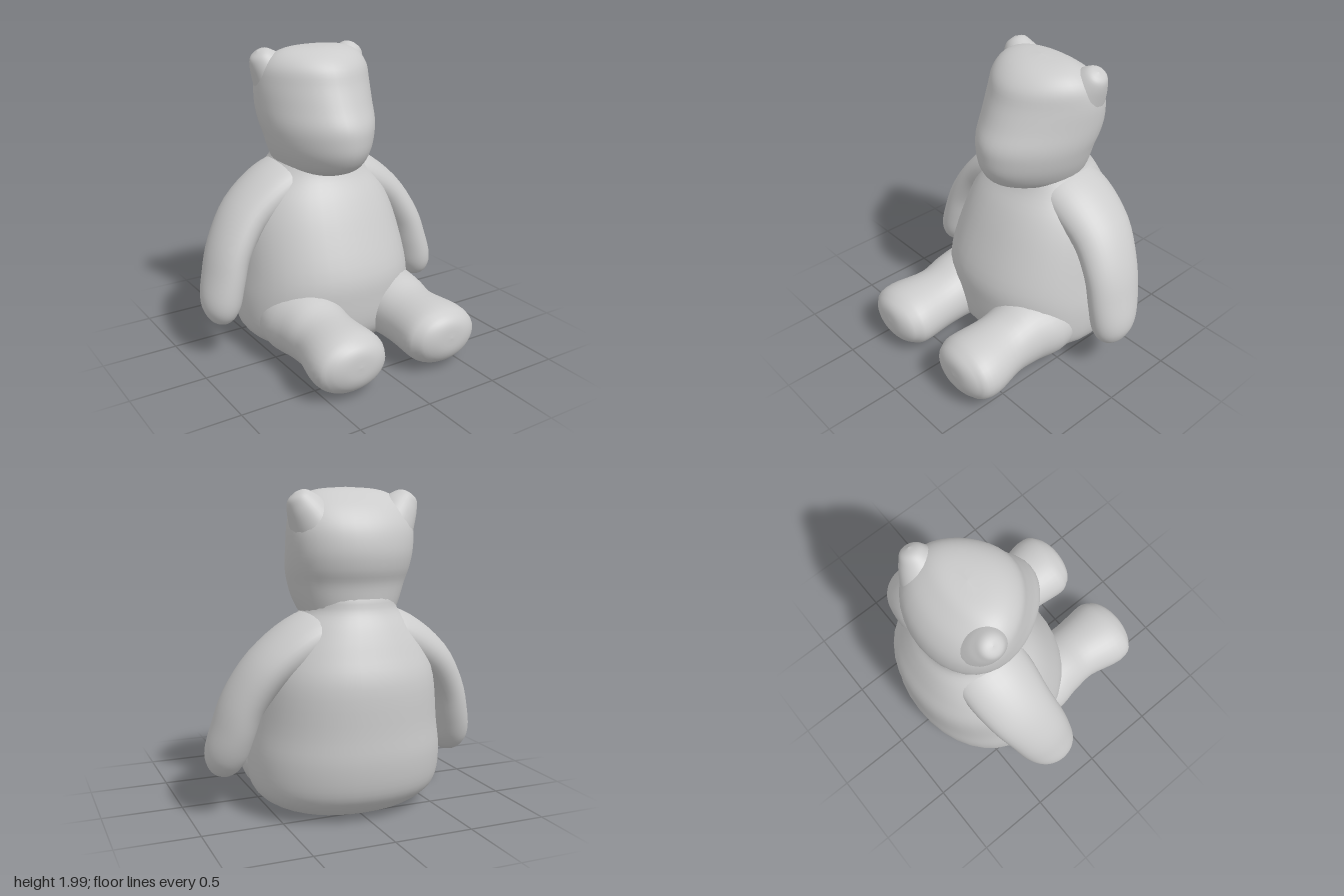
import * as THREE from 'three';

const material = new THREE.MeshStandardMaterial({ color: 0xcccccc });
const X = 1, Y_AXIS = new THREE.Vector3(0, 1, 0), Z_AXIS = new THREE.Vector3(0, 0, 1);

// Smooth skin through oval sections [x, y, z, side radius, radius along v].
// taper narrows the +v half of each oval and widens the other half.
function loft(name, sections, v, { around = 36, steps = 4, power = 2, taper = 0 } = {}) {
  const path = new THREE.CatmullRomCurve3(
    sections.map(s => new THREE.Vector3(s[0], s[1], s[2])), false, 'catmullrom', 0.5);
  const radii = new THREE.CatmullRomCurve3(
    sections.map(s => new THREE.Vector3(s[3], s[4], 0)), false, 'catmullrom', 0.5);
  const rows = (sections.length - 1) * steps;
  const positions = [], index = [];
  const round = c => Math.sign(c) * Math.abs(c) ** (2 / power);
  for (let i = 0; i <= rows; i++) {
    const c = path.getPoint(i / rows), r = radii.getPoint(i / rows);
    const u = new THREE.Vector3().crossVectors(v, path.getTangent(i / rows)).normalize();
    for (let j = 0; j < around; j++) {
      const angle = (j / around) * Math.PI * 2;
      const cos = round(Math.cos(angle)), sin = round(Math.sin(angle));
      const p = c.clone()
        .addScaledVector(u, Math.max(r.x, 0.001) * cos * (1 - taper * sin))
        .addScaledVector(v, Math.max(r.y, 0.001) * sin);
      positions.push(p.x, p.y, p.z);
      if (i < rows) {
        const a = i * around + j, b = i * around + (j + 1) % around;
        index.push(a, b, a + around, b, b + around, a + around);
      }
    }
  }
  const geometry = new THREE.BufferGeometry();
  geometry.setAttribute('position', new THREE.Float32BufferAttribute(positions, 3));
  geometry.setIndex(index);
  geometry.computeVertexNormals();
  const mesh = new THREE.Mesh(geometry, material);
  mesh.name = name;
  return mesh;
}

// Level section from height, front z, back z and half width
const level = ([y, front, back, half]) => [0, y, (front + back) / 2, half, (front - back) / 2];

export function createModel() {
  const model = new THREE.Group();
  model.name = 'sittingToyBear';

  // Pear-shaped torso rising into the neck
  model.add(loft('body', [
    [0.004, -0.24, -0.24, 0], [0.008, -0.02, -0.46, 0.3], [0.03, 0.12, -0.58, 0.43],
    [0.1, 0.22, -0.68, 0.55], [0.2, 0.28, -0.75, 0.605], [0.38, 0.3, -0.785, 0.612],
    [0.57, 0.29, -0.785, 0.585], [0.85, 0.18, -0.78, 0.54], [1.03, 0.09, -0.72, 0.47],
    [1.17, 0.0, -0.66, 0.37], [1.27, -0.03, -0.605, 0.295], [1.36, -0.05, -0.58, 0.28],
    [1.45, -0.12, -0.5, 0.2], [1.47, -0.31, -0.31, 0],
  ].map(level), Z_AXIS, { power: 2.15 }));

  // Head, narrowing forwards to the muzzle
  model.add(loft('head', [
    [1.15, -0.25, -0.25, 0], [1.165, -0.08, -0.46, 0.18], [1.19, 0.03, -0.55, 0.25],
    [1.24, 0.125, -0.57, 0.285], [1.33, 0.185, -0.585, 0.325], [1.43, 0.2, -0.6, 0.355],
    [1.52, 0.19, -0.635, 0.375], [1.63, 0.135, -0.65, 0.385], [1.76, 0.075, -0.625, 0.385],
    [1.87, 0.03, -0.555, 0.36], [1.945, -0.05, -0.46, 0.29], [1.985, -0.15, -0.38, 0.18],
    [1.998, -0.27, -0.27, 0],
  ].map(level), Z_AXIS, { taper: 0.22 }));

  for (const [side, s] of [['left', X], ['right', -X]]) {
    const mirror = list => list.map(([x, ...rest]) => [s * x, ...rest]);

    // Ear growing out of the upper corner of the head
    model.add(loft(side + 'Ear', mirror([
      [0.15, 1.62, -0.34, 0.18, 0.2], [0.23, 1.75, -0.36, 0.165, 0.19],
      [0.295, 1.85, -0.38, 0.125, 0.135], [0.335, 1.91, -0.385, 0.095, 0.095],
      [0.36, 1.95, -0.39, 0.06, 0.06], [0.37, 1.965, -0.39, 0, 0],
    ]), Z_AXIS));

    // Arm sloping out from the shoulder and hanging slightly forward
    model.add(loft(side + 'Arm', mirror([
      [0.1, 1.18, -0.33, 0, 0], [0.16, 1.15, -0.33, 0.13, 0.22], [0.32, 1.08, -0.335, 0.155, 0.25],
      [0.53, 0.93, -0.325, 0.14, 0.23], [0.67, 0.73, -0.285, 0.13, 0.21],
      [0.735, 0.54, -0.255, 0.13, 0.195], [0.772, 0.4, -0.23, 0.128, 0.17],
      [0.787, 0.315, -0.215, 0.1, 0.13], [0.795, 0.265, -0.205, 0.055, 0.07],
      [0.797, 0.25, -0.2, 0, 0],
    ]), Z_AXIS));

    // Leg stretched forward, ending in a rounded foot
    model.add(loft(side + 'Leg', mirror([
      [0.27, 0.27, -0.4, 0, 0], [0.28, 0.26, -0.3, 0.18, 0.15], [0.32, 0.255, 0, 0.27, 0.225],
      [0.33, 0.26, 0.2, 0.235, 0.225], [0.33, 0.235, 0.38, 0.22, 0.2],
      [0.345, 0.225, 0.62, 0.255, 0.2], [0.345, 0.23, 0.72, 0.215, 0.16],
      [0.345, 0.24, 0.77, 0.12, 0.095], [0.345, 0.245, 0.78, 0, 0],
    ]), Y_AXIS));
  }
  return model;
}
